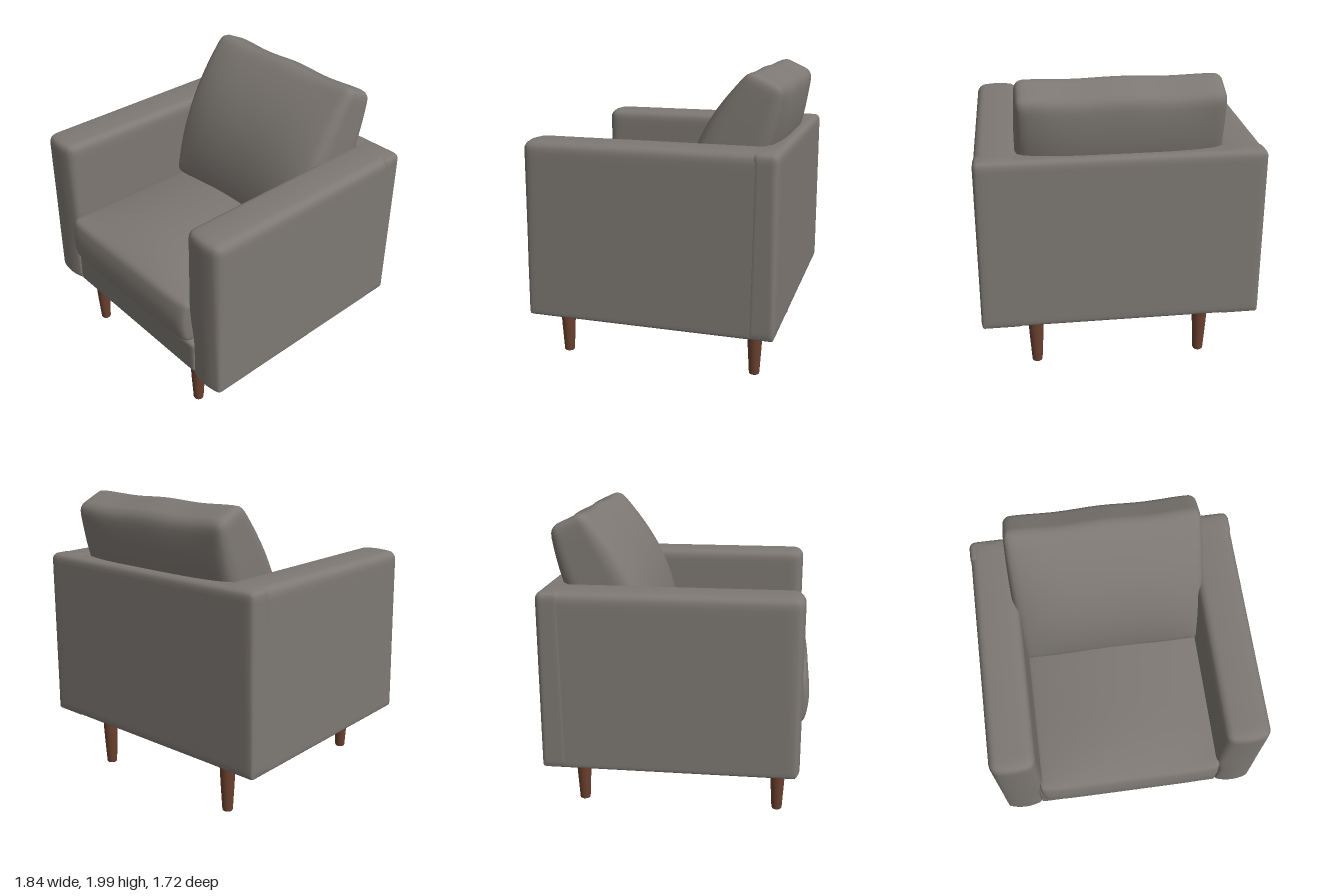
import * as THREE from 'three';
import { mergeVertices } from 'three/addons/utils/BufferGeometryUtils.js';

const { clamp, lerp, smoothstep } = THREE.MathUtils;

// Softly rounded block, centred on the origin. The edge radius runs from rBottom to rTop;
// warp(p, u, v, w) may then move each point, with u, v, w in -1..1 along x, y, z.
function softBlock(width, height, depth, rBottom, rTop, warp) {
  const n = 26;
  const half = new THREE.Vector3(width / 2, height / 2, depth / 2);
  const geo = new THREE.BoxGeometry(2, 2, 2, n, n, n);
  const pos = geo.attributes.position;
  const p = new THREE.Vector3(), core = new THREE.Vector3();
  for (let i = 0; i < pos.count; i++) {
    p.fromBufferAttribute(pos, i);
    // Crowd the grid towards the edges
    for (const a of ['x', 'y', 'z']) p[a] = Math.sin(p[a] * Math.PI / 2) * half[a];
    const r = lerp(rBottom, rTop, p.y / height + 0.5);
    for (const a of ['x', 'y', 'z']) core[a] = clamp(p[a], -half[a] + r, half[a] - r);
    p.sub(core).setLength(r).add(core);
    if (warp) warp(p, p.x / half.x, p.y / half.y, p.z / half.z);
    pos.setXYZ(i, p.x, p.y, p.z);
  }
  geo.deleteAttribute('normal');
  geo.deleteAttribute('uv');
  const smooth = mergeVertices(geo, 1e-5);
  smooth.computeVertexNormals();
  return smooth;
}

export function createModel() {
  const fabric = new THREE.MeshStandardMaterial({ color: 0x7d7873 });
  fabric.name = 'warm grey fabric';
  const wood = new THREE.MeshStandardMaterial({ color: 0x6b412f });
  wood.name = 'brown wood';

  const chair = new THREE.Group();
  chair.name = 'armchair';
  const add = (name, geo, mat, x, y, z) => {
    const mesh = new THREE.Mesh(geo, mat);
    mesh.name = name;
    mesh.position.set(x, y, z);
    chair.add(mesh);
    return mesh;
  };

  // Arms: padded front and top, narrowing on the inside beside the seat base
  for (const s of [1, -1]) {
    const arm = softBlock(0.3, 1.16, 1.64, 0.02, 0.055, (p, u, v, w) => {
      const out = s * u;
      p.x += s * (0.045 * (1 - out) / 2 * smoothstep(-v, 0, 0.6) + 0.008 * (1 - v) / 2);
      if (v > 0) p.y += 0.012 * (1 - u * u) * v;
      if (w > 0) p.z += 0.025 * (1 - u * u) * w ** 8;
    });
    add(s > 0 ? 'leftArm' : 'rightArm', arm, fabric, s * 0.76, 0.967, -0.035);
  }

  // Back panel wraps the rear corners
  add('backPanel', softBlock(1.826, 1.165, 0.17, 0.03, 0.045, (p, u, v) => {
    p.x *= 1 + 0.004 * (1 - v);
  }), fabric, 0, 0.971, -0.773);

  // Seat base
  add('seatBase', softBlock(1.33, 0.24, 1.58, 0.02, 0.03), fabric, 0, 0.512, 0.0);

  // Seat cushion: crowned top, bulging front
  add('seatCushion', softBlock(1.27, 0.335, 1.49, 0.05, 0.03, (p, u, v, w) => {
    if (v > 0) p.y += 0.085 * (1 - u * u) * (1 - w ** 4) * v;
    if (w > 0) p.z += 0.032 * (1 - v * v) * w ** 6;
    p.z -= w > 0 ? 0.02 * u ** 8 * w : 0;
  }), fabric, 0, 0.805, 0.085);

  // Leaning back cushion, plump in the middle
  const cushion = softBlock(1.28, 1.11, 0.24, 0.05, 0.055, (p, u, v) => {
    p.z *= 1 + 1.2 * (1 - v * v) * (1 - 0.5 * u ** 4);
    p.x *= 1 + 0.025 * (1 - v * v);
    if (v > 0) p.y += 0.006 * Math.cos(u * 7) * v ** 4;
  });
  add('backCushion', cushion, fabric, 0, 1.45, -0.48).rotation.x = -25 * Math.PI / 180;

  // Tapered legs
  const legProfile = [[0, 0], [0.032, 0], [0.035, 0.006], [0.046, 0.19], [0.052, 0.32], [0.053, 0.41], [0, 0.41]]
    .map(([r, y]) => new THREE.Vector2(r, y));
  const legGeo = new THREE.LatheGeometry(legProfile, 24);
  for (const x of [0.565, -0.565])
    for (const z of [0.67, -0.67])
      add((z > 0 ? 'front' : 'back') + (x > 0 ? 'Left' : 'Right') + 'Leg', legGeo, wood, x, 0, z);

  return chair;
}
